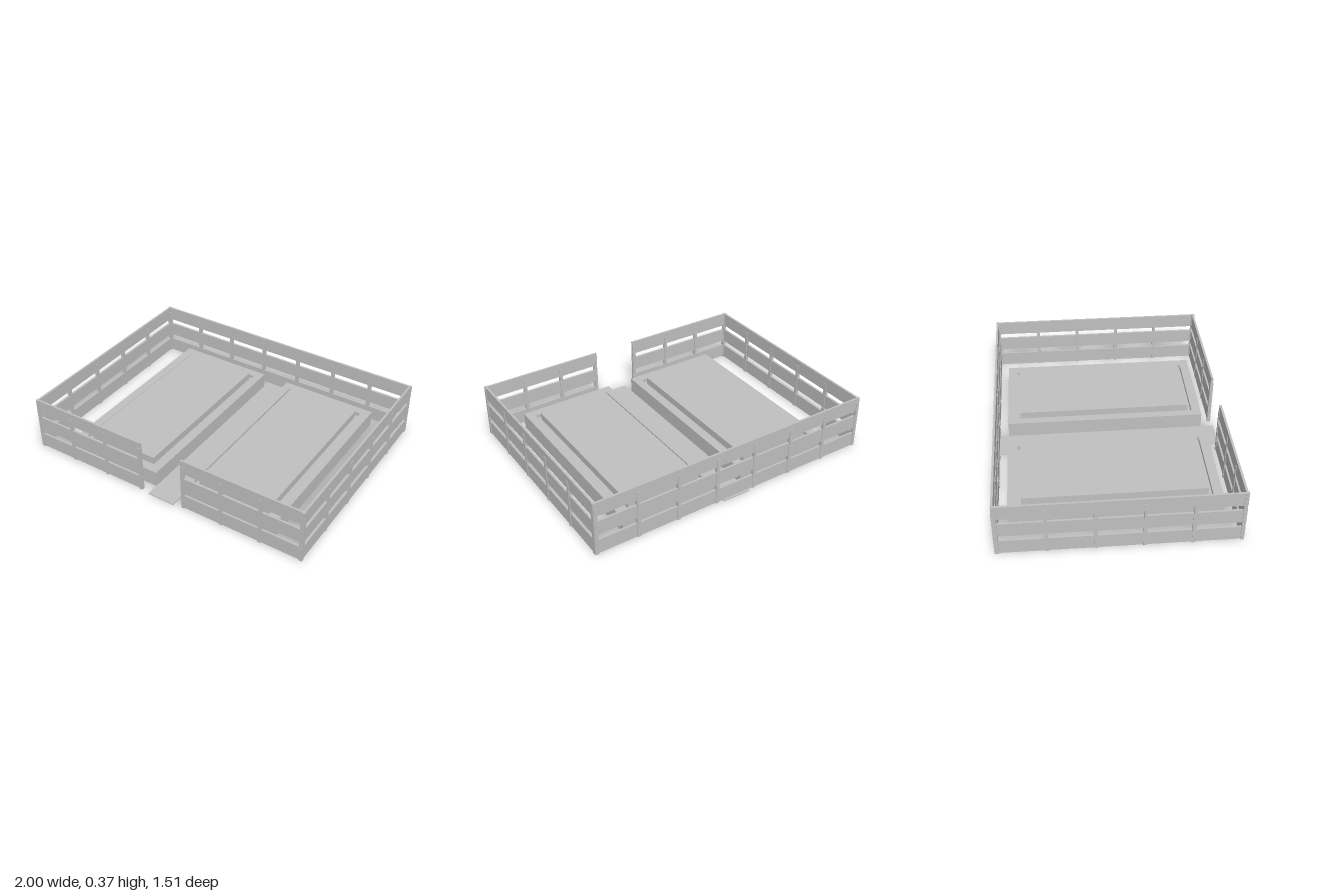
import * as THREE from 'three';

export function createModel() {
  const model = new THREE.Group();
  const grey = new THREE.MeshStandardMaterial({ color: 0xc0c0c0 });
  grey.name = 'plain grey';

  // Box given by its lower and upper corners
  function block(parent, name, [x0, y0, z0], [x1, y1, z1]) {
    const mesh = new THREE.Mesh(new THREE.BoxGeometry(x1 - x0, y1 - y0, z1 - z0), grey);
    mesh.position.set((x0 + x1) / 2, (y0 + y1) / 2, (z0 + z1) / 2);
    mesh.name = name;
    parent.add(mesh);
  }

  // Flat rectangular outline, u across and v along
  function rectangle(Type, u0, v0, u1, v1) {
    return new Type([[u0, v0], [u1, v0], [u1, v1], [u0, v1]].map(([u, v]) => new THREE.Vector2(u, v)));
  }

  // Central walkway
  block(model, 'walkway', [-0.095, 0, -0.757], [0.095, 0.006, 0.752]);

  // Two raised beds: a frame around a slightly higher pad, with a narrow groove between
  for (const side of [-1, 1]) {
    const bed = new THREE.Group();
    bed.name = side > 0 ? 'leftBed' : 'rightBed';
    const span = (a, b) => (side > 0 ? [a, b] : [-b, -a]);
    const [o0, o1] = span(0.095, 0.767);
    const [h0, h1] = span(0.15, 0.707);
    const [p0, p1] = span(0.178, 0.68);

    const outline = rectangle(THREE.Shape, o0, -0.663, o1, 0.667);
    outline.holes.push(rectangle(THREE.Path, h0, -0.602, h1, 0.608));
    const geometry = new THREE.ExtrudeGeometry(outline, { depth: 0.11, bevelEnabled: false });
    geometry.rotateX(-Math.PI / 2);
    const frame = new THREE.Mesh(geometry, grey);
    frame.name = 'bedFrame';
    bed.add(frame);

    block(bed, 'bedFloor', [h0, 0, -0.608], [h1, 0.085, 0.602]);
    block(bed, 'bedPad', [p0, 0.085, -0.583], [p1, 0.136, 0.577]);
    model.add(bed);
  }

  // Fence wall along local x: three planks and evenly spaced posts
  function wall(name, from, to, postCount, end) {
    const group = new THREE.Group();
    group.name = name;
    for (const [low, high] of [[0.004, 0.102], [0.14, 0.237], [0.274, 0.37]]) {
      block(group, 'plank', [from, low, -0.007], [to, high, 0.007]);
    }
    for (let i = 0; i < postCount; i++) {
      const x = from + end + ((to - from - 2 * end) * i) / (postCount - 1);
      block(group, 'post', [x - 0.011, 0, -0.011], [x + 0.011, 0.33, 0.011]);
    }
    model.add(group);
    return group;
  }

  wall('backFence', -0.998, 0.998, 8, 0.014).position.z = -0.735;
  wall('frontFenceRight', -0.998, -0.148, 4, 0.014).position.z = 0.73;
  wall('frontFenceLeft', 0.148, 0.998, 4, 0.014).position.z = 0.73;
  for (const side of [-1, 1]) {
    const fence = wall(side > 0 ? 'leftFence' : 'rightFence', -0.743, 0.743, 6, 0.014);
    fence.rotation.y = Math.PI / 2;
    fence.position.x = side * 0.987;
  }

  return model;
}
